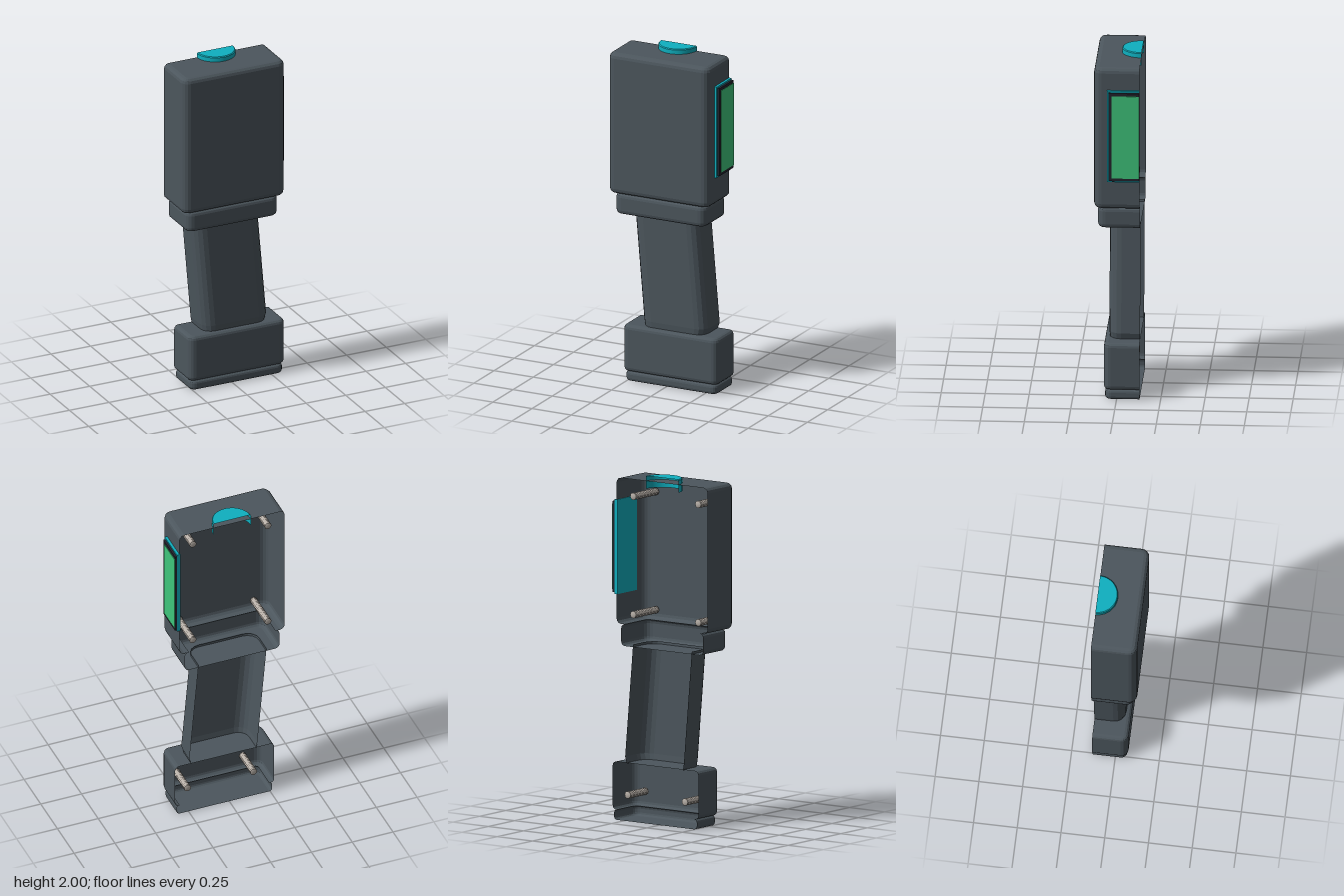
import * as THREE from 'three';

const BACK = -0.13; // the open cut plane of the half shell
const paint = (name, color) => {
  const m = new THREE.MeshStandardMaterial({ color, side: THREE.DoubleSide });
  m.name = name;
  return m;
};

// U-shaped outline, open at the back, with rounded front corners
function outline({ y, x0, x1, zf, r, flat }) {
  const pts = [[x0, BACK]];
  const n = 4;
  for (let i = 0; i <= n; i++) {
    const t = (i / n) * Math.PI / 2;
    pts.push([x0 + r - r * Math.cos(t), zf - r + r * Math.sin(t)]);
  }
  for (let i = n; i >= 0; i--) {
    const t = (i / n) * Math.PI / 2;
    pts.push([x1 - r + r * Math.cos(t), zf - r + r * Math.sin(t)]);
  }
  pts.push([x1, BACK]);
  return pts.map(([x, z]) => [x, y, flat ? BACK : z]);
}

// Thin shell lofted through outlines listed from top to bottom
function loft(sections) {
  const rings = sections.map(outline);
  const pos = [];
  for (let i = 0; i < rings.length - 1; i++) {
    for (let j = 0; j < rings[i].length - 1; j++) {
      const a = rings[i][j], b = rings[i][j + 1];
      const c = rings[i + 1][j], d = rings[i + 1][j + 1];
      pos.push(...a, ...c, ...b, ...b, ...c, ...d);
    }
  }
  const g = new THREE.BufferGeometry();
  g.setAttribute('position', new THREE.Float32BufferAttribute(pos, 3));
  g.computeVertexNormals();
  return g;
}

// Sections of a block with rounded top and bottom edges
function block(y0, y1, x0, x1, zf, r, bevel) {
  const out = [];
  const n = 3;
  const add = (t, y) => {
    const e = bevel * (1 - Math.cos(t));
    out.push({ y, x0: x0 + e, x1: x1 - e, zf: zf - e, r: r - e });
  };
  for (let i = n; i >= 0; i--) {
    const t = (i / n) * Math.PI / 2;
    add(t, y1 - bevel * (1 - Math.sin(t)));
  }
  for (let i = 0; i <= n; i++) {
    const t = (i / n) * Math.PI / 2;
    add(t, y0 + bevel * (1 - Math.sin(t)));
  }
  return out;
}

// Close a stack of sections at both ends
const capped = (s) => [{ ...s[0], flat: true }, ...s, { ...s[s.length - 1], flat: true }];

export function createModel() {
  const model = new THREE.Group();
  const body = paint('slate casing', 0x4c565d);
  const teal = paint('teal trim', 0x0fb0c0);
  const dark = paint('dark bezel', 0x23222c);
  const green = paint('green display', 0x3fc67c);
  const steel = paint('screw steel', 0xb8b0a8);

  const add = (name, geometry, material, x = 0, y = 0, z = 0) => {
    const m = new THREE.Mesh(geometry, material);
    m.name = name;
    m.position.set(x, y, z);
    model.add(m);
    return m;
  };

  // Head and the collar under it share one cavity
  add('headAndCollar', loft(capped([
    ...block(1.13, 1.97, -0.34, 0.305, 0.13, 0.045, 0.03),
    ...block(1.005, 1.13, -0.308, 0.272, 0.11, 0.045, 0.025),
  ])), body);

  // Slanted grip
  add('grip', loft([
    { y: 1.02, x0: -0.228, x1: 0.188, zf: 0.048, r: 0.07 },
    { y: 0.37, x0: -0.172, x1: 0.244, zf: 0.048, r: 0.07 },
    { y: 0.33, x0: -0.165, x1: 0.232, zf: 0.044, r: 0.066 },
  ]), body);

  // Base with its foot plate
  add('base', loft(capped([
    ...block(0.058, 0.335, -0.275, 0.332, 0.073, 0.04, 0.024),
    ...block(0, 0.058, -0.263, 0.322, 0.066, 0.036, 0.018),
  ])), body);

  // Half-round button reaching through the top of the head
  const wall = new THREE.CylinderGeometry(0.115, 0.115, 0.07, 28, 1, true, -Math.PI / 2, Math.PI);
  add('buttonWall', wall, teal, -0.017, 1.96, BACK);
  const disc = new THREE.CircleGeometry(0.115, 28, Math.PI, Math.PI);
  disc.rotateX(-Math.PI / 2);
  const rim = new THREE.CylinderGeometry(0.11, 0.115, 0.005, 28, 1, true, -Math.PI / 2, Math.PI);
  add('buttonRim', rim, teal, -0.017, 1.9975, BACK);
  disc.scale(0.957, 1, 0.957);
  add('buttonTop', disc, teal, -0.017, 2, BACK);

  // Side display: trim, bezel and screen, all cut at the back plane
  const slab = (name, mat, x0, x1, y0, y1, zf) => add(
    name, new THREE.BoxGeometry(x1 - x0, y1 - y0, zf - BACK), mat,
    (x0 + x1) / 2, (y0 + y1) / 2, (zf + BACK) / 2);
  slab('displayTrim', teal, 0.3, 0.32, 1.298, 1.842, 0.055);
  slab('displayBezel', dark, 0.32, 0.333, 1.308, 1.832, 0.045);
  slab('displayScreen', green, 0.333, 0.336, 1.325, 1.815, 0.028);

  // Threaded screws, running from the front wall towards the back
  const screw = (length) => {
    const profile = [new THREE.Vector2(0, 0)];
    const turns = Math.round(length / 0.014);
    for (let i = 0; i <= turns * 2; i++) {
      profile.push(new THREE.Vector2(i % 2 ? 0.016 : 0.021, (i / (turns * 2)) * length));
    }
    profile.push(new THREE.Vector2(0, length));
    const g = new THREE.LatheGeometry(profile, 12);
    g.rotateX(Math.PI / 2);
    return g;
  };
  const headScrew = screw(0.22), baseScrew = screw(0.17);
  for (const x of [-0.25, 0.21]) {
    for (const y of [1.185, 1.865]) add('headScrew', headScrew, steel, x, y, -0.1);
  }
  for (const x of [-0.16, 0.245]) add('baseScrew', baseScrew, steel, x, 0.145, -0.105);

  return model;
}
